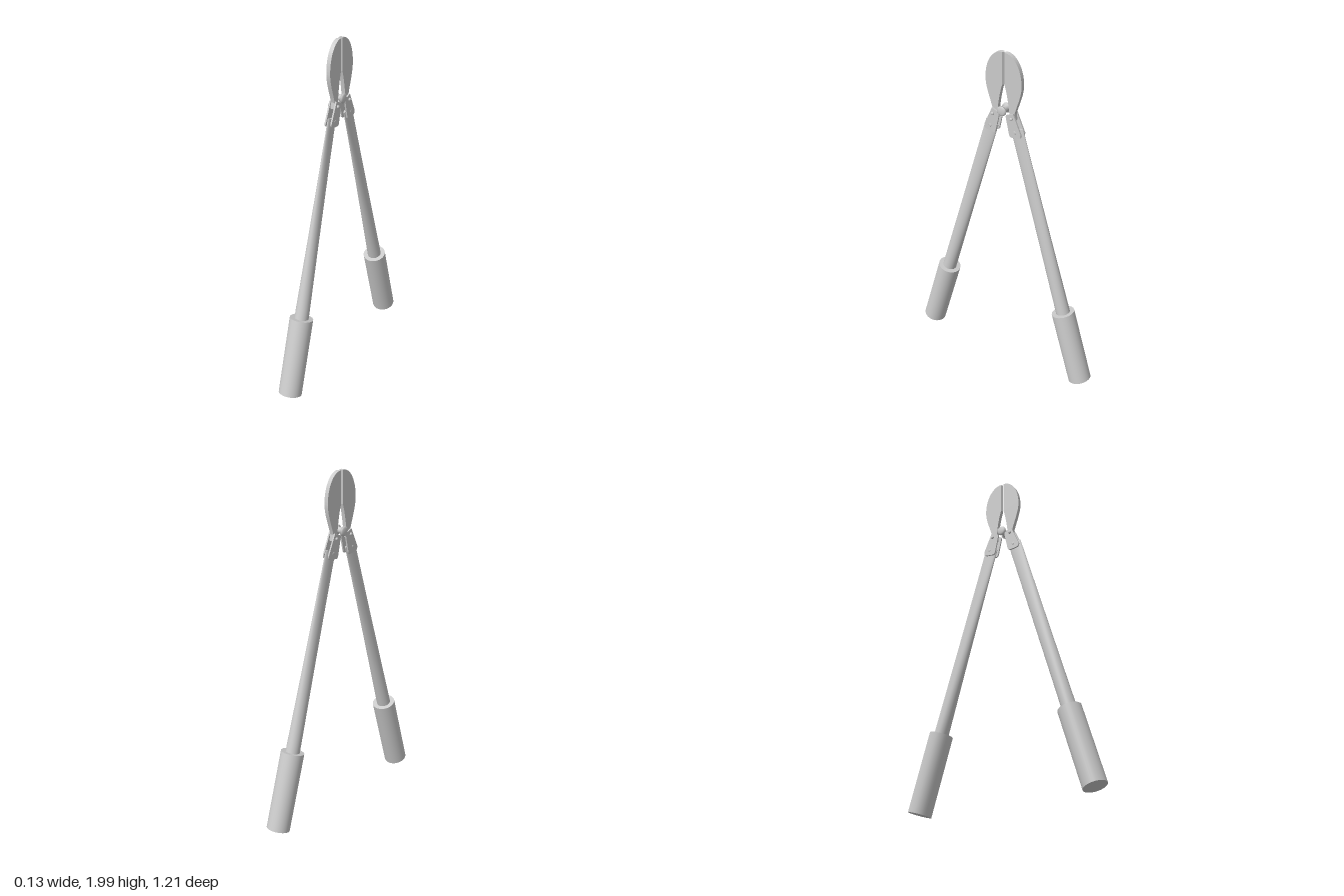
import * as THREE from 'three';

const mat = new THREE.MeshStandardMaterial({ color: 0xcccccc, side: THREE.DoubleSide });

function add(parent, name, geometry) {
  const mesh = new THREE.Mesh(geometry, mat);
  mesh.name = name;
  parent.add(mesh);
  return mesh;
}

// Flat plate drawn in the (z, y) plane, with its thickness along x
function plate(shape, thickness) {
  return new THREE.ExtrudeGeometry(shape, { depth: thickness, bevelEnabled: false, curveSegments: 16 })
    .translate(0, 0, -thickness / 2)
    .rotateY(-Math.PI / 2);
}

// Round pin lying along x, with a domed head at each end
function pin(radius, headRadius, halfLength, headDepth) {
  const p = [
    [0, -halfLength], [headRadius * 0.7, -halfLength], [headRadius, -halfLength + headDepth * 0.5],
    [headRadius, -halfLength + headDepth], [radius, -halfLength + headDepth],
  ];
  const mirrored = p.map(([r, y]) => [r, -y]).reverse();
  const points = [...p, ...mirrored].map(([r, y]) => new THREE.Vector2(r, y));
  return new THREE.LatheGeometry(points, 20).rotateZ(Math.PI / 2);
}

// Round tube squeezed flat towards its upper end
function handleTube(from, to) {
  const geo = new THREE.CylinderGeometry(0.041, 0.041, to - from, 32, 12).translate(0, (from + to) / 2, 0);
  const pos = geo.attributes.position;
  for (let i = 0; i < pos.count; i++) {
    const t = THREE.MathUtils.clamp((pos.getY(i) - 0.46) / (to - 0.46), 0, 1);
    pos.setX(i, pos.getX(i) * THREE.MathUtils.lerp(1, 0.22, t));
  }
  geo.computeVertexNormals();
  return geo;
}

function bladeShape() {
  const s = new THREE.Shape();
  s.moveTo(0.008, 2.0);
  s.lineTo(0.022, 2.0);
  s.bezierCurveTo(0.075, 1.99, 0.115, 1.92, 0.114, 1.83);
  s.bezierCurveTo(0.112, 1.77, 0.085, 1.72, 0.07, 1.66);
  s.lineTo(0.075, 1.625);
  s.lineTo(0.04, 1.62);
  s.lineTo(0.038, 1.66);
  s.quadraticCurveTo(0.026, 1.76, 0.008, 1.815);
  s.closePath();
  return s;
}

function bracketShape() {
  const s = new THREE.Shape();
  s.moveTo(0.068, 1.668);
  s.lineTo(0.028, 1.652);
  s.quadraticCurveTo(0.02, 1.648, 0.022, 1.636);
  s.lineTo(0.043, 1.54);
  s.quadraticCurveTo(0.046, 1.523, 0.06, 1.524);
  s.lineTo(0.103, 1.529);
  s.quadraticCurveTo(0.12, 1.535, 0.118, 1.555);
  s.closePath();
  return s;
}

// One arm of the cutter: grip, tube, bracket and blade
function arm(name) {
  const g = new THREE.Group();
  g.name = name;

  const handle = new THREE.Group();
  handle.name = 'handle';
  handle.position.set(0, 0.026, 0.541);
  handle.rotation.x = -0.29;
  add(handle, 'grip', new THREE.CylinderGeometry(0.067, 0.067, 0.462, 32).translate(0, 0.231, 0));
  add(handle, 'handleTube', handleTube(0.42, 1.613));
  g.add(handle);

  add(g, 'blade', plate(bladeShape(), 0.024));

  // Ground cutting edge, a wedge running up the inside of the blade
  const edge = new THREE.Shape([
    new THREE.Vector2(-0.012, -0.008), new THREE.Vector2(0.012, -0.008), new THREE.Vector2(0, -0.001),
  ]);
  add(g, 'cuttingEdge', new THREE.ExtrudeGeometry(edge, { depth: 0.185, bevelEnabled: false })
    .rotateX(-Math.PI / 2)
    .translate(0, 1.815, 0));

  // Bracket plates on both faces, held by rivets
  for (const side of [-1, 1]) {
    add(g, 'bracketPlate', plate(bracketShape(), 0.009)).position.x = side * 0.018;
  }
  for (const [y, z] of [[1.638, 0.06], [1.56, 0.08]]) {
    const upper = y > 1.6;
    add(g, 'rivet', pin(0.006, 0.009, upper ? 0.034 : 0.024, upper ? 0.01 : 0.003)).position.set(0, y, z);
  }
  return g;
}

export function createModel() {
  const model = new THREE.Group();
  model.name = 'boltCutter';

  const frontArm = arm('frontArm');
  const backArm = arm('backArm');
  backArm.rotation.y = Math.PI;
  model.add(frontArm, backArm);

  // Central pivot bolt between the two arms
  add(model, 'pivotBolt', pin(0.017, 0.028, 0.034, 0.013)).position.set(0, 1.667, 0.003);
  return model;
}
